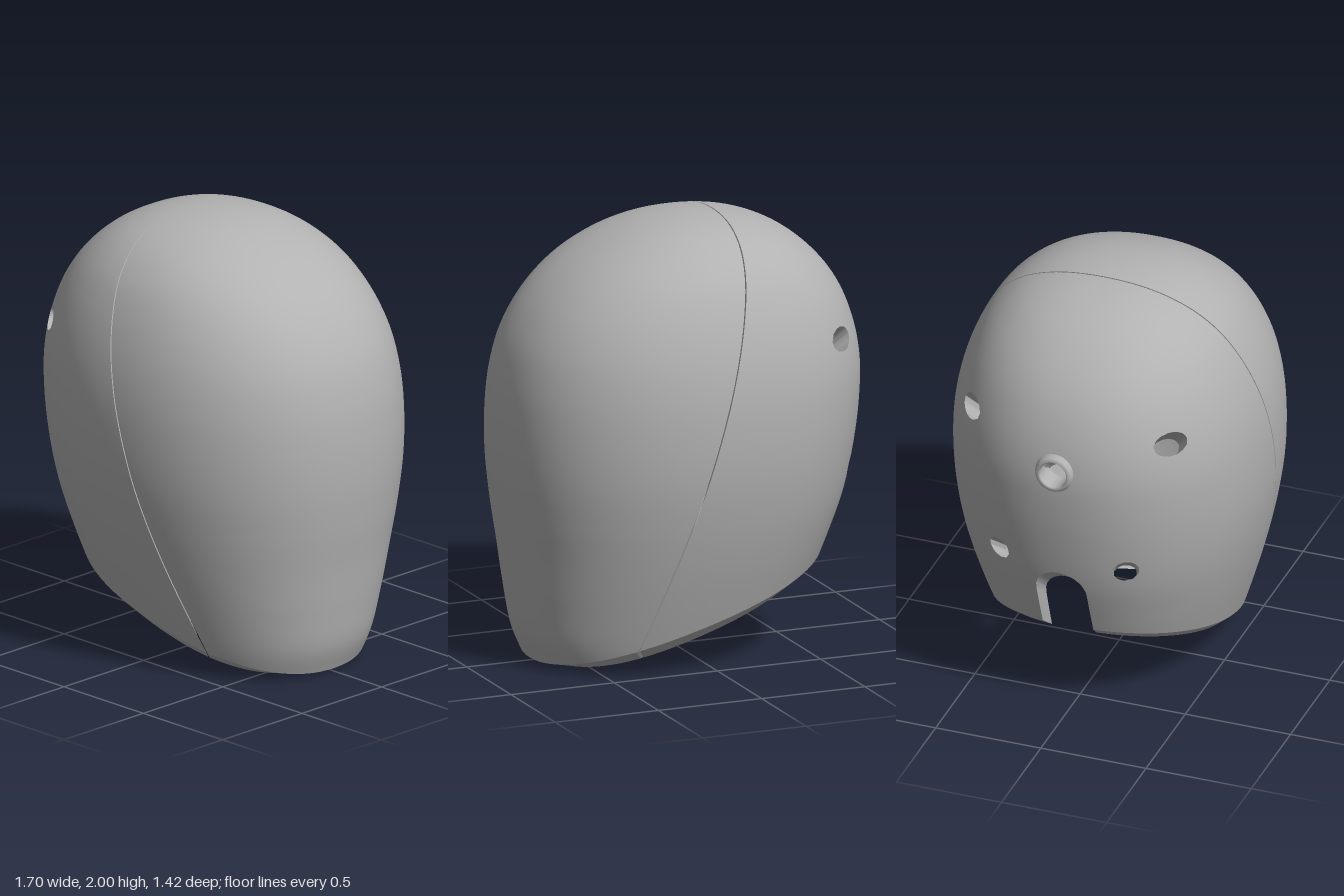
import * as THREE from 'three';
import { toCreasedNormals } from 'three/addons/utils/BufferGeometryUtils.js';

// Horizontal sections from crown to base: [y, back x, front x, half width in z].
// The first row mirrors the third so the crown closes smoothly.
const SECTIONS = [
  [1.978, 0.13, -0.3, -0.21], [2, -0.085, -0.085, 0], [1.978, -0.3, 0.13, 0.21],
  [1.91, -0.48, 0.335, 0.385], [1.8, -0.625, 0.525, 0.515], [1.66, -0.735, 0.67, 0.602],
  [1.49, -0.805, 0.772, 0.665], [1.31, -0.836, 0.825, 0.7], [1.12, -0.83, 0.846, 0.71],
  [0.92, -0.803, 0.846, 0.7], [0.72, -0.76, 0.828, 0.668], [0.52, -0.69, 0.8, 0.62],
  [0.32, -0.61, 0.775, 0.56], [0.14, -0.53, 0.745, 0.5], [0, -0.46, 0.69, 0.45],
];
const spline = (pick) => new THREE.CatmullRomCurve3(
  SECTIONS.map((s) => new THREE.Vector3(...pick(s))), false, 'catmullrom', 0.5);
const lengthCurve = spline(([y, back, front]) => [back, y, front]);
const widthCurve = spline(([, , , w]) => [w, 0, 0]);
const T0 = 1 / (SECTIONS.length - 1);
const ROUNDNESS = 2.2; // exponent of the slightly squared oval sections

// Point on the outer or inner skin; u runs round the head, v from crown to base.
function skin(u, v, inner) {
  const t = T0 + (1 - T0) * v;
  const l = lengthCurve.getPoint(t);
  const w = widthCurve.getPoint(t).x;
  const c = Math.cos(u * Math.PI * 2), s = Math.sin(u * Math.PI * 2);
  const r = (Math.abs(c) ** ROUNDNESS + Math.abs(s) ** ROUNDNESS) ** (-1 / ROUNDNESS);
  const p = new THREE.Vector3((l.x + l.z) / 2 + (l.z - l.x) / 2 * r * c, l.y, w * r * s);
  if (!inner) return p;
  const drop = 0.05 * (1 - Math.exp(-p.y / 0.06)) + 0.025 * p.y;
  return p.set(p.x * 0.88, p.y - drop, p.z * 0.88);
}

function skinNormal(u, v, inner) {
  const e = 1e-3;
  const vv = Math.min(Math.max(v, 2 * e), 1 - e);
  const du = skin(u + e, vv, inner).sub(skin(u - e, vv, inner));
  const dv = skin(u, vv + e, inner).sub(skin(u, vv - e, inner));
  return du.cross(dv).normalize().multiplyScalar(inner ? -1 : 1);
}

const vertex = (u, v) => ({ u, v, p: skin(u, v, false) });

// Keeps the part of each (u, v) triangle where rule(point) is positive.
function clip(triangles, rule) {
  const out = [];
  for (const tri of triangles) {
    const d = tri.map((q) => rule(q.p));
    if (d.every((x) => x > 0)) { out.push(tri); continue; }
    if (d.every((x) => x <= 0)) continue;
    const poly = [];
    for (let i = 0; i < 3; i++) {
      const j = (i + 1) % 3;
      if (d[i] > 0) poly.push(tri[i]);
      if ((d[i] > 0) !== (d[j] > 0)) {
        const k = d[i] / (d[i] - d[j]);
        poly.push(vertex(tri[i].u + (tri[j].u - tri[i].u) * k, tri[i].v + (tri[j].v - tri[i].v) * k));
      }
    }
    for (let i = 2; i < poly.length; i++) out.push([poly[0], poly[i - 1], poly[i]]);
  }
  return out;
}

// Oval hole bored along the direction n through c.
function hole(c, n, width, height) {
  const centre = new THREE.Vector3(...c);
  const axis = new THREE.Vector3(...n).normalize();
  const side = new THREE.Vector3(0, 1, 0).cross(axis).normalize();
  const up = axis.clone().cross(side);
  return (p) => {
    const d = p.clone().sub(centre);
    return d.length() > 0.3 ? 1 : Math.hypot(d.dot(side) / width, d.dot(up) / height) - 1;
  };
}

function geometry(positions) {
  const g = new THREE.BufferGeometry();
  g.setAttribute('position', new THREE.Float32BufferAttribute(positions, 3));
  return g;
}

// Smooth skin from the clipped triangles
function skinGeometry(triangles, inner) {
  const pos = [], nor = [];
  for (const [a, b, c] of triangles) {
    for (const q of inner ? [a, c, b] : [a, b, c]) {
      pos.push(...skin(q.u, q.v, inner).toArray());
      nor.push(...skinNormal(q.u, q.v, inner).toArray());
    }
  }
  const g = geometry(pos);
  g.setAttribute('normal', new THREE.Float32BufferAttribute(nor, 3));
  return g;
}

// Walls joining both skins along every open edge
function rimGeometry(triangles) {
  const key = (q) => `${Math.round(q.u * 1e6) % 1e6},${Math.round(q.v * 1e6)}`;
  const edges = new Map();
  for (const tri of triangles) {
    for (let i = 0; i < 3; i++) {
      const a = tri[i], b = tri[(i + 1) % 3];
      const ka = key(a), kb = key(b);
      if (ka === kb) continue;
      if (edges.has(`${kb}|${ka}`)) edges.delete(`${kb}|${ka}`);
      else edges.set(`${ka}|${kb}`, [a, b]);
    }
  }
  const pos = [];
  for (const [a, b] of edges.values()) {
    if (a.v === 0 && b.v === 0) continue;
    const ai = skin(a.u, a.v, true), bi = skin(b.u, b.v, true);
    for (const p of [b.p, a.p, ai, b.p, ai, bi]) pos.push(...p.toArray());
  }
  return toCreasedNormals(geometry(pos), 0.8);
}

export function createModel() {
  const model = new THREE.Group();
  model.name = 'helmetShell';
  const grey = new THREE.MeshStandardMaterial({ color: 0xb2b2b2 });
  grey.name = 'plain grey';
  const add = (parent, name, geo) => {
    const mesh = new THREE.Mesh(geo, grey);
    mesh.name = name;
    parent.add(mesh);
    return mesh;
  };

  // Full skin as a grid of triangles
  const NU = 144, NV = 84;
  const grid = [];
  for (let j = 0; j <= NV; j++) {
    grid.push(Array.from({ length: NU + 1 }, (_, i) => vertex(i / NU, j / NV)));
  }
  let triangles = [];
  for (let j = 0; j < NV; j++) {
    for (let i = 0; i < NU; i++) {
      const a = grid[j][i], b = grid[j][i + 1], c = grid[j + 1][i + 1], d = grid[j + 1][i];
      if (j > 0) triangles.push([a, b, c]);
      triangles.push([a, c, d]);
    }
  }

  // Sloping neck opening, rear notch and vent holes
  const cuts = [
    (p) => p.y - Math.max(0.008, 0.24 - 0.32 * p.x),
    (p) => (p.x > 0 ? 1 : Math.hypot(p.z, Math.max(0, p.y - 0.67)) - 0.12),
    hole([-0.835, 1.335, 0], [-1, 0.05, 0], 0.08, 0.08),
  ];
  for (const s of [-1, 1]) {
    cuts.push(hole([-0.615, 1.465, 0.475 * s], [-0.7, 0.2, 0.68 * s], 0.085, 0.055));
    cuts.push(hole([-0.72, 0.83, 0.3 * s], [-0.85, -0.15, 0.5 * s], 0.06, 0.055));
  }
  for (const cut of cuts) triangles = clip(triangles, cut);

  // Face and rear halves, parted by a narrow slanted seam
  const seam = (p) => p.x + 0.295 * p.y - 0.4;
  const halves = {
    faceHalf: (p) => seam(p) - 0.003,
    rearHalf: (p) => -seam(p) - 0.003,
  };
  for (const [name, rule] of Object.entries(halves)) {
    const part = clip(triangles, rule);
    const half = new THREE.Group();
    half.name = name;
    model.add(half);
    add(half, 'outerSkin', skinGeometry(part, false));
    add(half, 'innerSkin', skinGeometry(part, true));
    add(half, 'cutEdges', rimGeometry(part));
  }

  // Low tapered collar lining the rear centre hole
  const profile = [[0.068, 0], [0.086, 0], [0.094, 0.085], [0.084, 0.108], [0.07, 0.117], [0.064, 0.11], [0.068, 0]]
    .map(([r, h]) => new THREE.Vector2(r, h));
  const collar = add(model, 'rearCollar', new THREE.LatheGeometry(profile, 40));
  collar.rotation.z = Math.PI / 2;
  collar.position.set(-0.737, 1.335, 0);

  return model;
}
